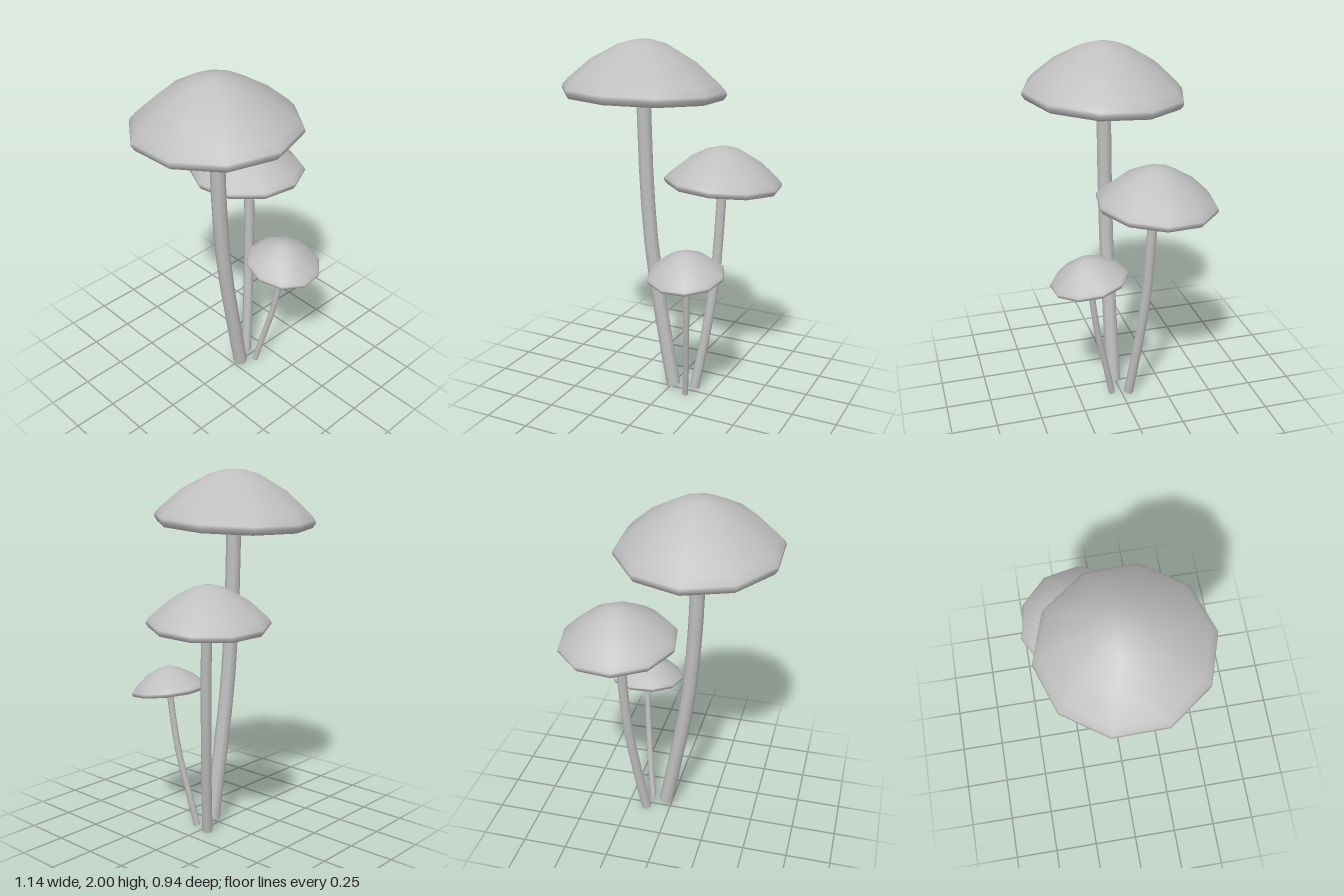
import * as THREE from 'three';
import { mergeVertices } from 'three/addons/utils/BufferGeometryUtils.js';

const grey = new THREE.MeshStandardMaterial({ color: 0xbfbfbf });
grey.name = 'mushroomGrey';

// Cap profile for radius 1, from the centre of the underside over the rim to the crown
const capProfile = [
  [0, -0.07], [0.9, -0.08], [0.96, -0.08], [1, -0.02], [0.99, 0.02],
  [0.92, 0.1], [0.64, 0.345], [0.31, 0.53], [0.12, 0.585], [0, 0.59],
].map(([r, y]) => new THREE.Vector2(r, y));

// Ten-sided cap; the rim leans by the slopes while the crown stays level
function makeCap({ radius, at, turn, slopeX, slopeZ }) {
  let geo = new THREE.LatheGeometry(capProfile, 10);
  geo.rotateY(turn).scale(radius, radius, radius);
  const p = geo.attributes.position;
  for (let i = 0; i < p.count; i++) {
    const x = p.getX(i), z = p.getZ(i);
    const weight = Math.min(1, Math.hypot(x, z) / radius);
    p.setY(i, p.getY(i) + (slopeX * x + slopeZ * z) * weight);
  }
  geo.deleteAttribute('uv');
  geo.deleteAttribute('normal');
  geo = mergeVertices(geo, 1e-5);
  geo.computeVertexNormals();
  const cap = new THREE.Mesh(geo, grey);
  cap.position.set(...at);
  cap.name = 'cap';
  return cap;
}

// Bent stem with a closed foot; its top ends inside the cap
function makeStem(points, radius) {
  const group = new THREE.Group();
  group.name = 'stem';
  const curve = new THREE.CatmullRomCurve3(points.map((q) => new THREE.Vector3(...q)));
  const shaft = new THREE.Mesh(new THREE.TubeGeometry(curve, 8, radius, 8), grey);
  shaft.name = 'stemShaft';
  const foot = new THREE.Mesh(new THREE.CircleGeometry(radius, 8), grey);
  foot.name = 'stemFoot';
  foot.position.copy(curve.getPoint(0));
  foot.quaternion.setFromUnitVectors(new THREE.Vector3(0, 0, 1), curve.getTangent(0).negate());
  group.add(shaft, foot);
  return group;
}

const mushrooms = [
  {
    name: 'tallMushroom',
    cap: { radius: 0.447, at: [-0.15, 1.736, 0.02], turn: 0, slopeX: -0.01, slopeZ: 0.055 },
    stem: [[0.03, 0.03, 0.02], [-0.035, 0.4, 0.022], [-0.098, 0.8, 0.022], [-0.132, 1.2, 0.022], [-0.15, 1.74, 0.022]],
    stemRadius: 0.041,
  },
  {
    name: 'middleMushroom',
    cap: { radius: 0.326, at: [0.246, 1.235, -0.156], turn: 0.17, slopeX: -0.04, slopeZ: 0.06 },
    stem: [[0.138, 0.005, -0.04], [0.182, 0.3, -0.075], [0.222, 0.65, -0.112], [0.239, 0.95, -0.128], [0.247, 1.25, -0.145]],
    stemRadius: 0.029,
  },
  {
    name: 'smallMushroom',
    cap: { radius: 0.212, at: [0.19, 0.803, 0.2], turn: -0.22, slopeX: 0, slopeZ: -0.15 },
    stem: [[0.122, 0.005, 0.056], [0.146, 0.2, 0.096], [0.167, 0.4, 0.143], [0.182, 0.6, 0.174], [0.19, 0.82, 0.2]],
    stemRadius: 0.018,
  },
];

export function createModel() {
  const model = new THREE.Group();
  model.name = 'mushroomCluster';
  for (const m of mushrooms) {
    const group = new THREE.Group();
    group.name = m.name;
    group.add(makeCap(m.cap), makeStem(m.stem, m.stemRadius));
    model.add(group);
  }
  return model;
}
